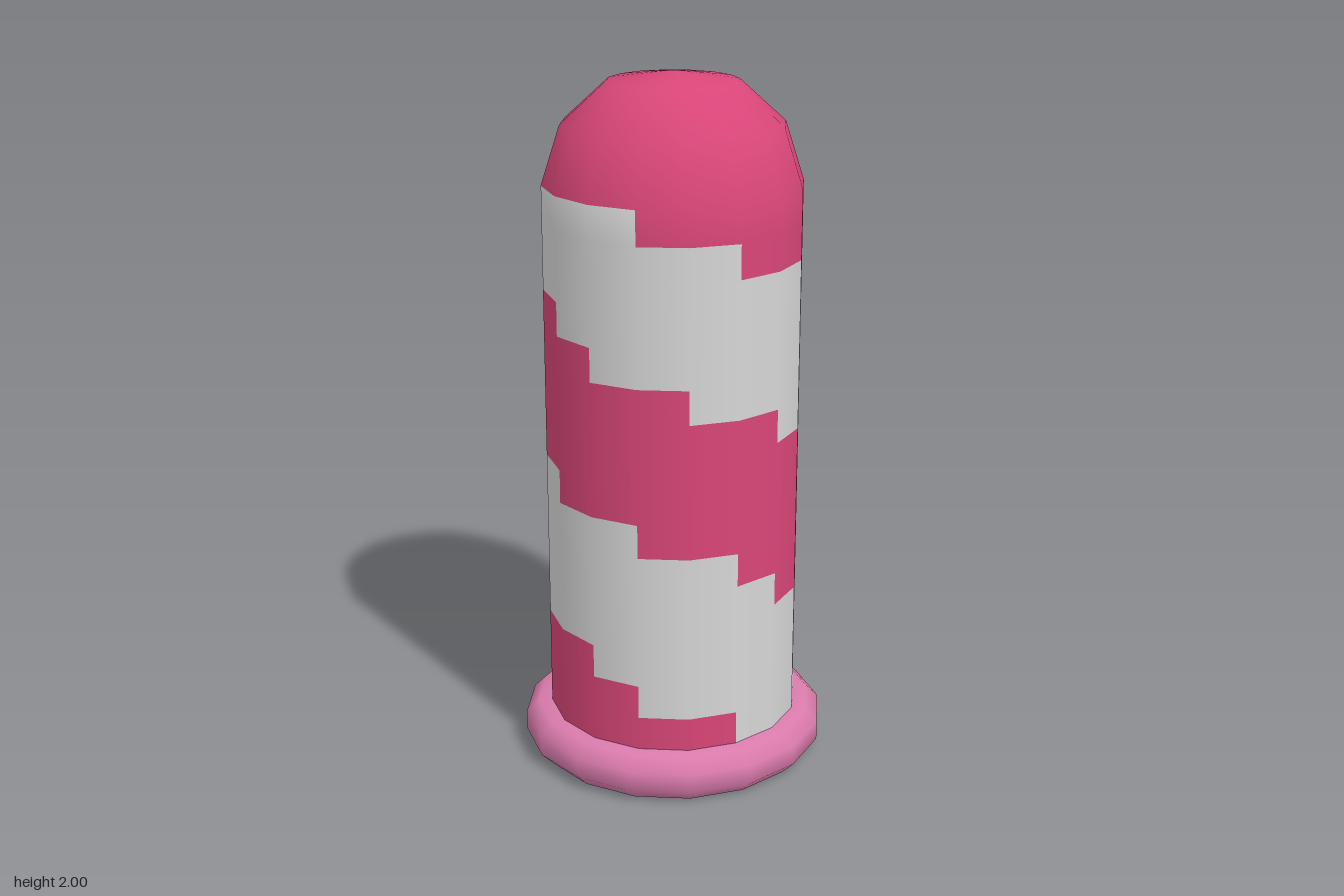
import * as THREE from 'three';

const SIDES = 16, ROWS = 16;
const BASE_TOP = 0.132, SHAFT_TOP = 1.692, RADIUS = 0.365;

function flat(name, color) {
  const m = new THREE.MeshStandardMaterial({ color });
  m.name = name;
  return m;
}

function lathe(points) {
  const profile = points.map(([r, y]) => new THREE.Vector2(r, y));
  return new THREE.LatheGeometry(profile, SIDES, -Math.PI / 2);
}

// Each stripe covers half the circumference and steps round as it climbs
function isStripe(row, col) {
  if (row >= ROWS) return true; // the dome is one colour
  const start = Math.floor(15.68 - 1.72 * row);
  return THREE.MathUtils.euclideanModulo(col - start, SIDES) < SIDES / 2;
}

export function createModel() {
  const raspberry = flat('raspberry', 0xd84678);
  const paleGrey = flat('paleGrey', 0xd6d6d6);
  const softPink = flat('softPink', 0xda7bac);
  const model = new THREE.Group();
  model.name = 'stripedPillar';

  const add = (name, geometry, material) => {
    const mesh = new THREE.Mesh(geometry, material);
    mesh.name = name;
    model.add(mesh);
    return mesh;
  };

  // Shaft in equal rows, closed by a low-poly dome
  const profile = [];
  for (let i = 0; i <= ROWS; i++) {
    profile.push([RADIUS, BASE_TOP + (SHAFT_TOP - BASE_TOP) * i / ROWS]);
  }
  profile.push([0.312, 1.857], [0.183, 1.974], [0, 2]);
  const shaft = lathe(profile);

  // Sort the cells into one group per colour
  const cellsPerColumn = profile.length - 1;
  const index = Array.from(shaft.index.array);
  const stripe = [], ground = [];
  for (let col = 0; col < SIDES; col++) {
    for (let row = 0; row < cellsPerColumn; row++) {
      const at = (col * cellsPerColumn + row) * 6;
      (isStripe(row, col) ? stripe : ground).push(...index.slice(at, at + 6));
    }
  }
  shaft.setIndex([...stripe, ...ground]);
  shaft.addGroup(0, stripe.length, 0);
  shaft.addGroup(stripe.length, ground.length, 1);
  add('stripedShaft', shaft, [raspberry, paleGrey]);

  // Rounded base ring with a flat underside
  add('baseRing', lathe([
    [0.405, 0], [0.442, 0.038], [0.442, 0.095], [0.405, BASE_TOP], [0.34, BASE_TOP],
  ]), softPink);
  add('baseUnderside', new THREE.CircleGeometry(0.405, SIDES).rotateX(Math.PI / 2), softPink);

  return model;
}
